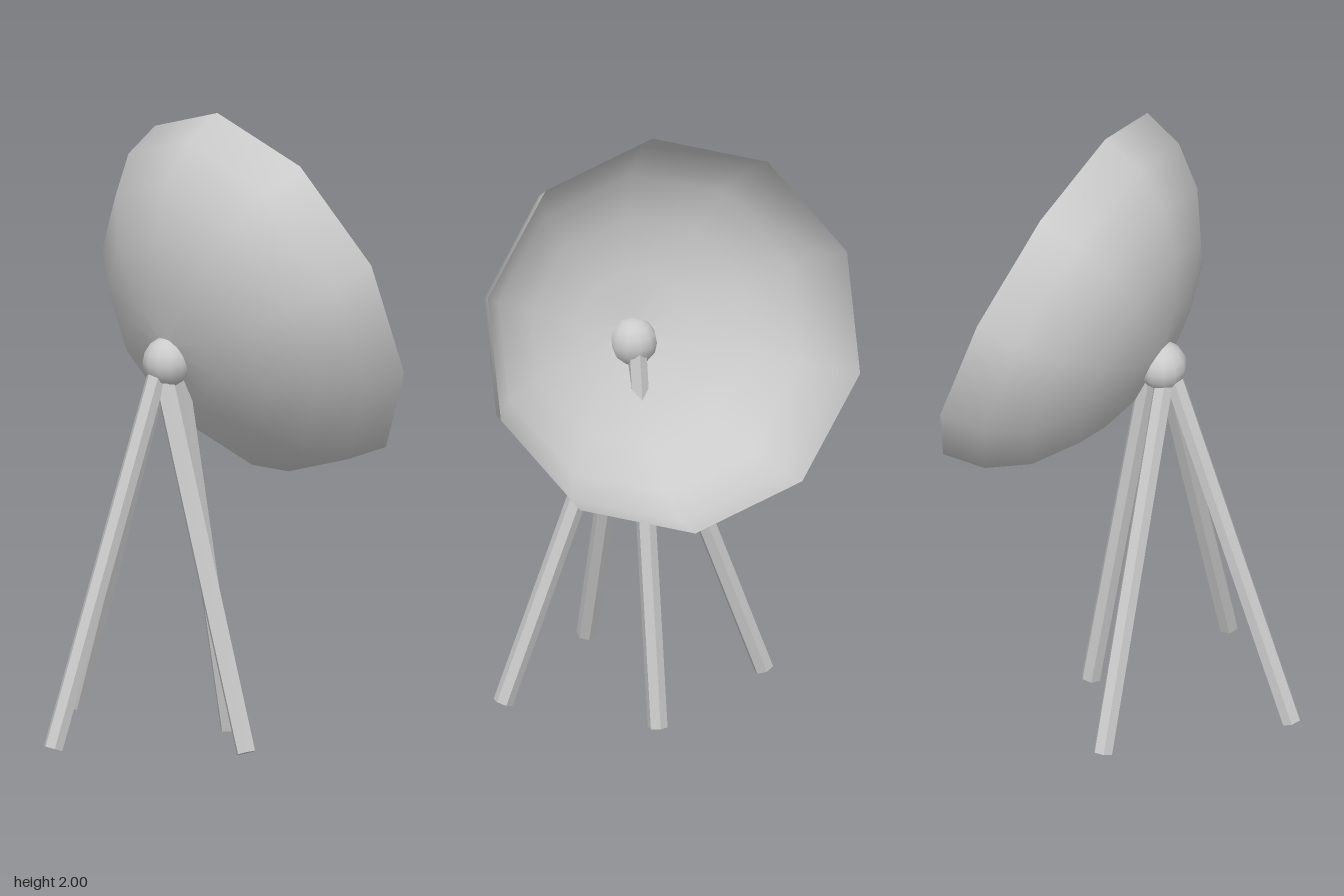
import * as THREE from 'three';

export function createModel() {
  const model = new THREE.Group();
  const deg = THREE.MathUtils.degToRad;
  const smooth = new THREE.MeshStandardMaterial({ color: 0xcccccc });
  const flat = new THREE.MeshStandardMaterial({ color: 0xcccccc, flatShading: true });
  const shell = new THREE.MeshStandardMaterial({ color: 0xcccccc, side: THREE.DoubleSide });

  const add = (name, geometry, material) => {
    const mesh = new THREE.Mesh(geometry, material);
    mesh.name = name;
    model.add(mesh);
    return mesh;
  };

  // Dish: ten-sided thin bowl, a squashed half sphere opening towards +x and up
  const radius = 0.627, depth = 0.444, rings = 5;
  const profile = [];
  for (let i = 0; i <= rings; i++) {
    const a = (i / rings) * Math.PI / 2;
    profile.push(new THREE.Vector2(radius * Math.sin(a), -depth * Math.cos(a)));
  }
  const dish = add('dish', new THREE.LatheGeometry(profile, 10, Math.PI / 2), shell);
  dish.rotation.z = deg(-70.2);
  dish.position.set(0.342, 1.41, 0);

  // Ball joint where the dish meets the legs
  const joint = add('ballJoint', new THREE.SphereGeometry(0.079, 12, 8), smooth);
  joint.position.set(-0.072, 1.225, 0);

  // Legs: hexagonal rods from the joint to the ground
  const addLeg = (name, top, foot) => {
    const a = new THREE.Vector3(...top), b = new THREE.Vector3(...foot);
    const geometry = new THREE.CylinderGeometry(0.032, 0.032, a.distanceTo(b), 6);
    geometry.rotateY(Math.PI / 2);
    const leg = add(name, geometry, flat);
    leg.position.copy(a).add(b).multiplyScalar(0.5);
    leg.quaternion.setFromUnitVectors(new THREE.Vector3(0, 1, 0), a.sub(b).normalize());
  };
  addLeg('outerLeg', [-0.105, 1.21, 0], [-0.53, 0.04, 0]);
  addLeg('dishSideLeg', [-0.03, 1.215, 0], [0.18, 0.006, 0]);
  addLeg('frontLeg', [-0.09, 1.21, -0.008], [-0.09, 0.04, 0.423]);
  addLeg('backLeg', [-0.09, 1.21, -0.012], [-0.09, 0.04, -0.442]);

  return model;
}
